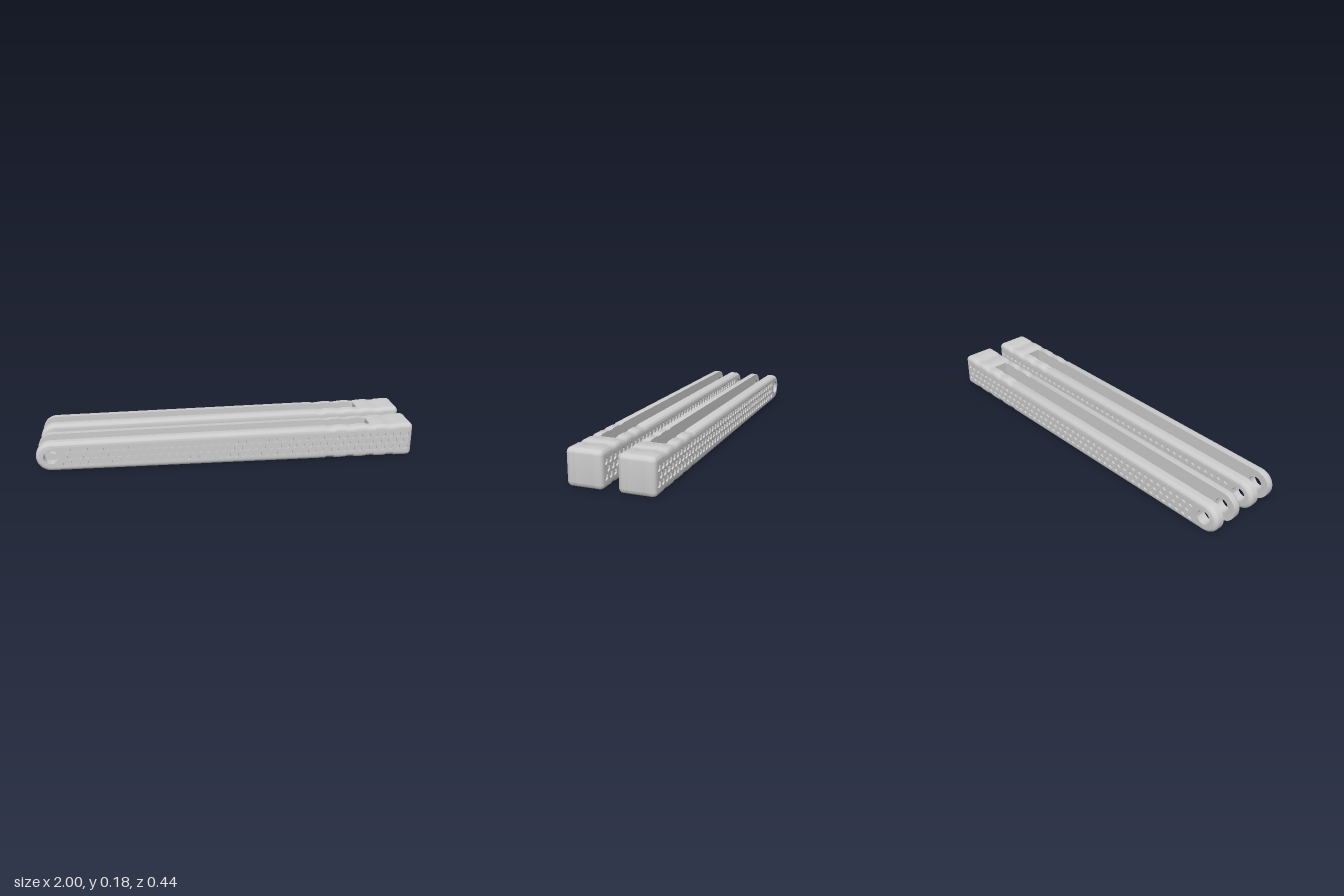
import * as THREE from 'three';
import { mergeGeometries, toCreasedNormals } from 'three/addons/utils/BufferGeometryUtils.js';

const ROUND = 0.023;      // edge rounding of the outer sides
const CHEEK = 0.0515;     // cheek thickness
const SLOT = 0.04;        // half width of the channel
const POCKET = 0.008;     // depth of the honeycomb pockets
const GROOVES = [0.55, 0.66, 0.77, 0.88];
const PIVOT = new THREE.Vector2(-0.922, 0.078);
const topAt = (x) => 0.156 + ((x + 0.922) / 1.922) * 0.027;

function arc(cx, cy, r, from, to, n) {
  return Array.from({ length: n + 1 }, (_, i) => {
    const a = THREE.MathUtils.degToRad(from + ((to - from) * i) / n);
    return new THREE.Vector2(cx + r * Math.cos(a), cy + r * Math.sin(a));
  });
}

// Side outline, counter-clockwise, with shallow grip grooves top and bottom
function outline() {
  const bottom = [], top = [];
  for (const g of GROOVES) {
    for (const [dx, depth] of [[-0.026, 0], [-0.018, 0.004], [0.018, 0.004], [0.026, 0]]) {
      bottom.push(new THREE.Vector2(g + dx, depth));
      top.unshift(new THREE.Vector2(g + dx, topAt(g + dx) - depth));
    }
  }
  const r = 0.024;
  return [
    ...bottom,
    ...arc(1 - r, r, r, -90, 0, 6),
    ...arc(1 - r, topAt(1) - r, r, 0, 90, 6),
    ...top,
    ...arc(PIVOT.x, PIVOT.y, 0.078, 90, 270, 20),
  ];
}

function inset(points, d) {
  const n = points.length;
  return points.map((p, i) => {
    const t = points[(i + 1) % n].clone().sub(points[(i + n - 1) % n]).normalize();
    return new THREE.Vector2(p.x - t.y * d, p.y + t.x * d);
  });
}

function slab(points, holes, z0, z1) {
  const shape = new THREE.Shape(points);
  shape.holes = holes.map((h) => new THREE.Path(h));
  const g = new THREE.ExtrudeGeometry(shape, { depth: z1 - z0, bevelEnabled: false });
  return g.translate(0, 0, z0);
}

// Quarter-round edge lofted through shrinking outlines
function roundedRim(points) {
  const steps = 6, n = points.length, pos = [], index = [];
  for (let j = 0; j <= steps; j++) {
    const a = (j / steps) * Math.PI / 2;
    const z = CHEEK - ROUND + ROUND * Math.sin(a);
    for (const p of inset(points, ROUND * (1 - Math.cos(a)))) pos.push(p.x, p.y, z);
  }
  for (let j = 0; j < steps; j++) {
    for (let i = 0; i < n; i++) {
      const a = j * n + i, b = j * n + ((i + 1) % n);
      index.push(a, b, b + n, a, b + n, a + n);
    }
  }
  const g = new THREE.BufferGeometry();
  g.setAttribute('position', new THREE.Float32BufferAttribute(pos, 3));
  g.setIndex(index);
  g.computeVertexNormals();
  return g;
}

// Three staggered rows of hexagons following the taper
function honeycomb() {
  const cells = [], pitch = 0.042;
  for (let row = -1; row <= 1; row++) {
    for (let x = -0.845 + (row ? 0 : pitch / 2); x < 0.962; x += pitch) {
      cells.push(arc(x, topAt(x) / 2 + row * 0.0365, 0.0172, 90, 450, 6).slice(0, 6));
    }
  }
  return cells;
}

function merged(parts) {
  const plain = parts.map((g) => {
    const p = g.index ? g.toNonIndexed() : g;
    p.deleteAttribute('uv');
    return p;
  });
  return toCreasedNormals(mergeGeometries(plain), 0.6);
}

function cheekGeometry(points) {
  const pin = arc(PIVOT.x, PIVOT.y + 0.002, 0.038, 0, 360, 28).slice(0, 28);
  const inner = inset(points, ROUND);
  return merged([
    slab(points, [pin], 0, CHEEK - ROUND),
    slab(inner, [pin], CHEEK - ROUND, CHEEK - POCKET),
    slab(inner, [pin, ...honeycomb()], CHEEK - POCKET, CHEEK),
    roundedRim(points),
  ]);
}

// Channel floor, raised stop near the pivot and solid end block
function spineGeometry(points) {
  const v = (x, y) => new THREE.Vector2(x, y);
  const rim = points.filter((p) => p.x > 0.77 || (p.y < 0.03 && p.x > -0.84));
  return merged([slab([
    v(-0.84, 0), ...rim,
    v(0.77, topAt(0.77) - 0.004), v(0.77, 0.035),
    v(-0.77, 0.035), v(-0.80, 0.07), v(-0.84, 0.07),
  ], [], -SLOT, SLOT)]);
}

export function createModel() {
  const model = new THREE.Group();
  model.name = 'handlePair';
  const material = new THREE.MeshStandardMaterial({ color: 0xcccccc });
  const points = outline();
  const cheek = cheekGeometry(points);
  const spine = spineGeometry(points);

  for (const [name, z] of [['frontHandle', 0.127], ['backHandle', -0.127]]) {
    const handle = new THREE.Group();
    handle.name = name;
    handle.position.z = z;
    for (const side of [1, -1]) {
      const mesh = new THREE.Mesh(cheek, material);
      mesh.name = side > 0 ? 'frontCheek' : 'backCheek';
      mesh.position.z = side * SLOT;
      mesh.scale.z = side;
      handle.add(mesh);
    }
    const core = new THREE.Mesh(spine, material);
    core.name = 'spineAndEndBlock';
    handle.add(core);
    model.add(handle);
  }
  return model;
}
